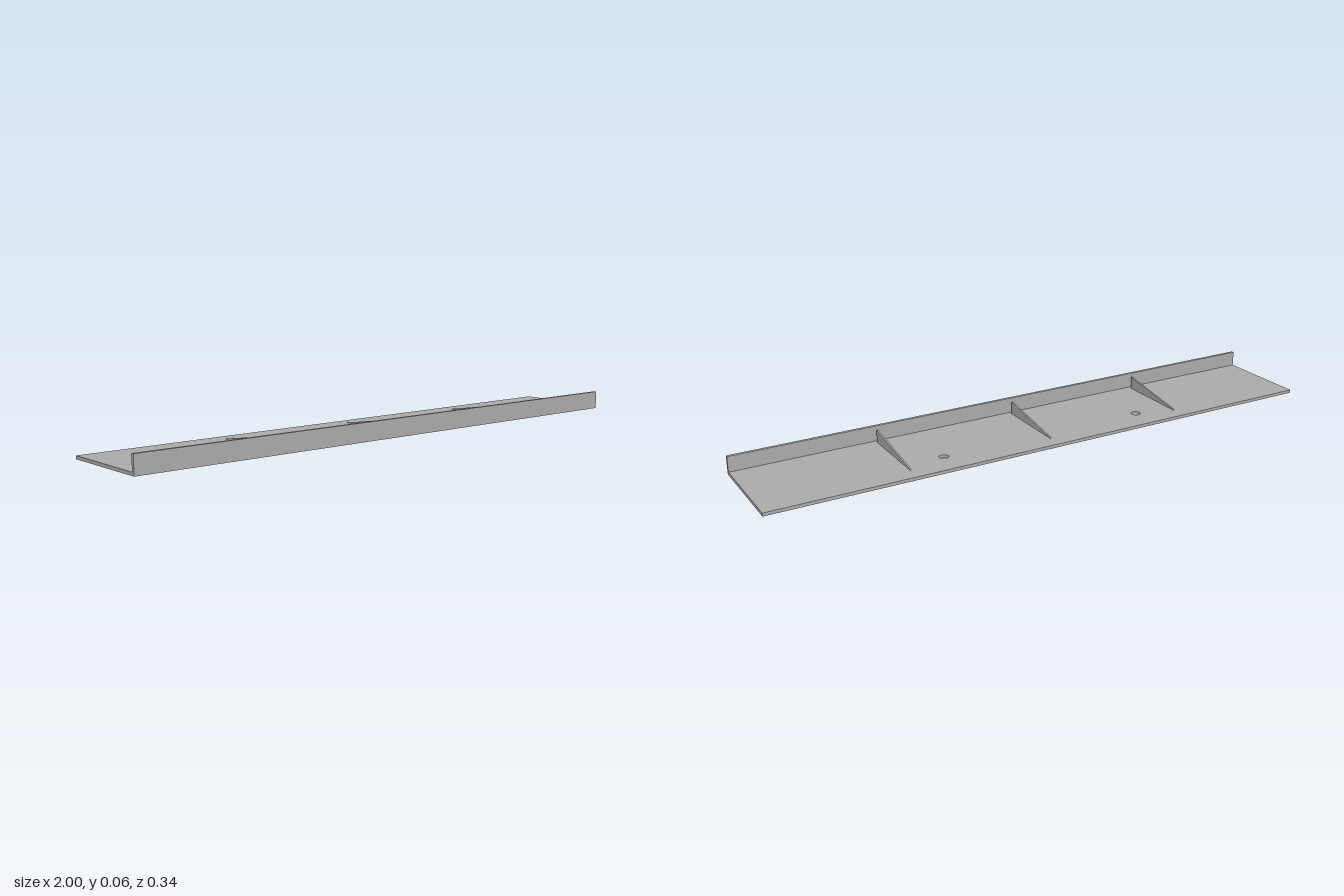
import * as THREE from 'three';

export function createModel() {
  const group = new THREE.Group();
  const gray = new THREE.MeshStandardMaterial({ color: 0xaaaaaa });
  gray.name = 'plain gray';

  const halfDepth = 0.169, plate = 0.011, wallHeight = 0.0635;
  const add = (name, geometry) => {
    const mesh = new THREE.Mesh(geometry, gray);
    mesh.name = name;
    group.add(mesh);
    return mesh;
  };

  // Base plate with two round through holes (shape y is -z)
  const outline = new THREE.Shape([
    new THREE.Vector2(-1, -halfDepth), new THREE.Vector2(1, -halfDepth),
    new THREE.Vector2(1, halfDepth), new THREE.Vector2(-1, halfDepth),
  ]);
  for (const x of [-0.373, 0.373]) {
    outline.holes.push(new THREE.Path().absarc(x, 0.072, 0.016, 0, Math.PI * 2, true));
  }
  const base = new THREE.ExtrudeGeometry(outline, { depth: plate, bevelEnabled: false, curveSegments: 24 });
  add('basePlate', base.rotateX(-Math.PI / 2));

  // Upright lip along the front edge
  const lip = add('frontLip', new THREE.BoxGeometry(2, wallHeight - plate, 0.0105));
  lip.position.set(0, (wallHeight + plate) / 2, halfDepth - 0.00525);

  // Three thin wedge ribs, tall at the front, with a gap behind the lip
  const ribThickness = 0.006;
  const profile = new THREE.Shape([
    new THREE.Vector2(-0.126, plate), new THREE.Vector2(0.1445, plate),
    new THREE.Vector2(0.1445, 0.0545),
  ]);
  const rib = new THREE.ExtrudeGeometry(profile, { depth: ribThickness, bevelEnabled: false });
  rib.rotateY(-Math.PI / 2).translate(ribThickness / 2, 0, 0);
  [['rightRib', -0.507], ['middleRib', 0], ['leftRib', 0.507]].forEach(([name, x]) => {
    add(name, rib).position.x = x;
  });

  return group;
}
